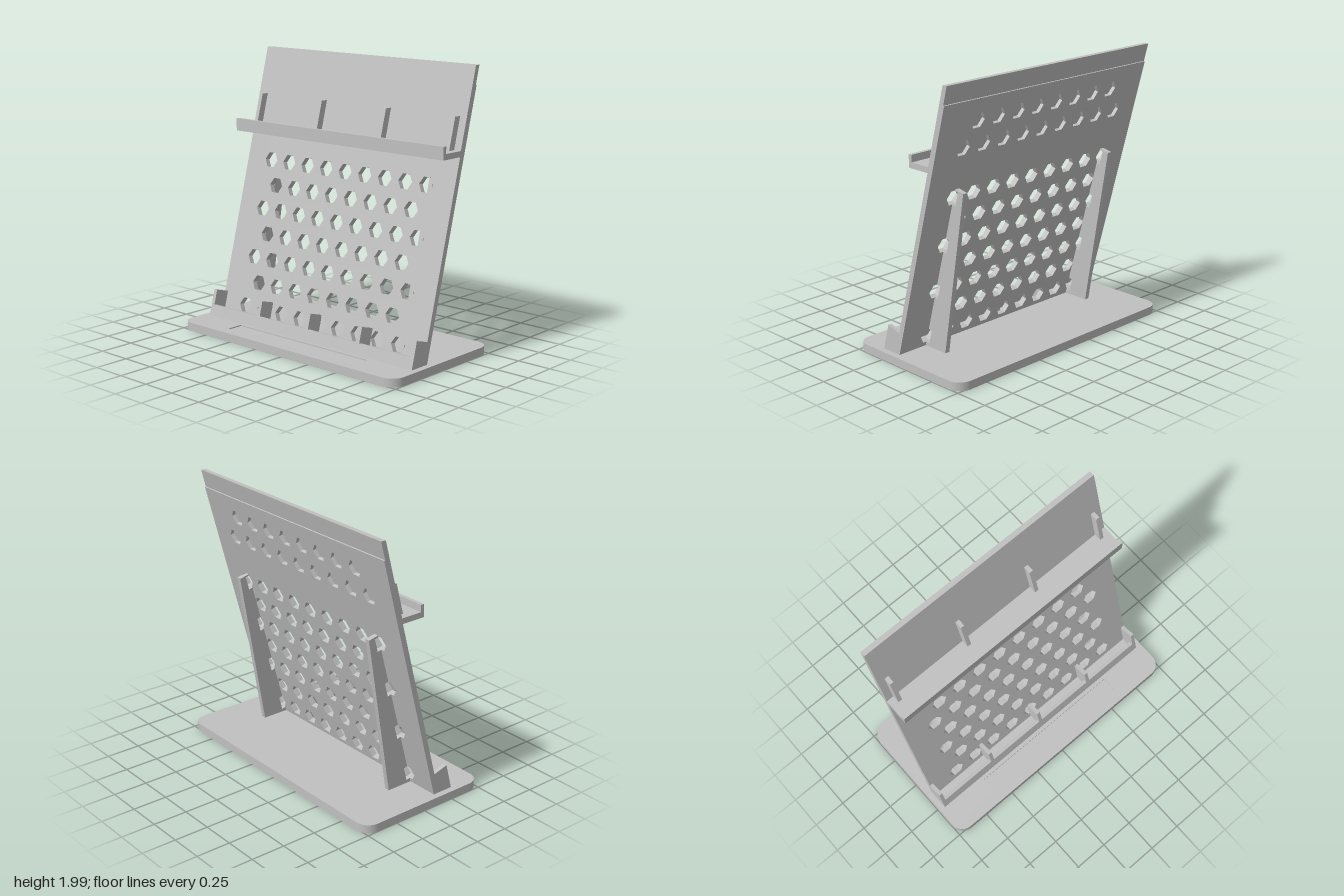
import * as THREE from 'three';

const TILT = THREE.MathUtils.degToRad(15);
const TAN = Math.tan(TILT), COS = Math.cos(TILT);
const grey = new THREE.MeshStandardMaterial({ color: 0xc0c0c0 });
grey.name = 'lightGrey';

// z of the leaning panel's front and back faces at a height y
const frontZ = (y) => 0.18 - TAN * y;
const backZ = (y) => frontZ(y) - 0.041;

function add(parent, name, geometry) {
  const mesh = new THREE.Mesh(geometry, grey);
  mesh.name = name;
  parent.add(mesh);
  return mesh;
}

const polygon = (points) => new THREE.Shape(points.map(([a, b]) => new THREE.Vector2(a, b)));

// side profile of [z, y] points, extruded between x0 and x1
function sideProfile(points, x0, x1) {
  return new THREE.ExtrudeGeometry(polygon(points), { depth: x1 - x0, bevelEnabled: false })
    .rotateY(-Math.PI / 2).translate(x1, 0, 0);
}

// horizontal slab with rounded corners and optional holes
function baseLayer(y0, y1, holes = []) {
  const w = 1, d = 0.515, r = 0.1, s = new THREE.Shape();
  s.absarc(w - r, d - r, r, 0, Math.PI / 2);
  s.absarc(-w + r, d - r, r, Math.PI / 2, Math.PI);
  s.absarc(-w + r, -d + r, r, Math.PI, Math.PI * 1.5);
  s.absarc(w - r, -d + r, r, Math.PI * 1.5, Math.PI * 2);
  s.holes.push(...holes);
  return new THREE.ExtrudeGeometry(s, { depth: y1 - y0, bevelEnabled: false, curveSegments: 12 })
    .rotateX(-Math.PI / 2).translate(0, y0, 0);
}

function rectHole(x0, y0, x1, y1) {
  return new THREE.Path([[x0, y0], [x0, y1], [x1, y1], [x1, y0]].map(([a, b]) => new THREE.Vector2(a, b)));
}

function hexHole(x, y, r) {
  const pts = [];
  for (let i = 0; i < 6; i++) {
    const a = -i * Math.PI / 3;
    pts.push(new THREE.Vector2(x + r * Math.cos(a), y + r * Math.sin(a)));
  }
  return new THREE.Path(pts);
}

export function createModel() {
  const model = new THREE.Group();
  model.name = 'leaningStand';
  const W = 0.955;
  const rowS = (row) => (0.15 + 0.174 * row) / COS;

  // base: foot recesses below, shallow label recess on top
  const base = new THREE.Group();
  base.name = 'base';
  model.add(base);
  const feet = [];
  for (const x of [-0.7, 0.7]) for (const z of [-0.4, 0.4]) {
    feet.push(new THREE.Path().absarc(x, z, 0.06, 0, Math.PI * 2, true));
  }
  add(base, 'baseBottomWithFootRecesses', baseLayer(0, 0.015, feet));
  add(base, 'baseCore', baseLayer(0.015, 0.052));
  add(base, 'baseTopWithLabelRecess', baseLayer(0.052, 0.06, [rectHole(-0.6, -0.43, 0.6, -0.31)]));

  // leaning panel with staggered hexagonal holes; the row behind the shelf is solid
  const panel = polygon([[-W, 0.03], [W, 0.03], [W, 1.936], [-W, 1.936]]);
  for (let row = 0; row < 10; row++) {
    if (row === 7) continue;
    const count = row % 2 ? 8 : 9;
    for (let i = 0; i < count; i++) {
      panel.holes.push(hexHole((i - (count - 1) / 2) * 0.18, rowS(row), 0.06));
    }
  }
  const panelMesh = add(model, 'perforatedPanel',
    new THREE.ExtrudeGeometry(panel, { depth: 0.04, bevelEnabled: false }).translate(0, 0, -0.04));
  panelMesh.position.z = 0.18;
  panelMesh.rotation.x = -TILT;

  // solid upper plate closing the top holes from the front
  const f = (y) => frontZ(y) + 0.004;
  add(model, 'upperPlate', sideProfile([
    [f(1.41), 1.41], [f(1.99), 1.99], [f(1.99) - 0.037, 1.99], [f(1.85) - 0.037, 1.85],
    [f(1.85) - 0.018, 1.85], [f(1.41) - 0.018, 1.41],
  ], -W, W));

  // upper shelf with raised lip and leaning ribs
  add(model, 'upperShelf', sideProfile([
    [-0.018, 1.4], [-0.018, 1.49], [-0.045, 1.49], [-0.045, 1.44],
    [frontZ(1.44) - 0.01, 1.44], [frontZ(1.4) - 0.01, 1.4],
  ], -W, W));
  for (const x of [-0.887, -0.296, 0.296, 0.885]) {
    add(model, 'upperRib', sideProfile([
      [frontZ(1.43) + 0.058, 1.43], [frontZ(1.66) + 0.058, 1.66],
      [frontZ(1.66) - 0.01, 1.66], [frontZ(1.43) - 0.01, 1.43],
    ], x - 0.015, x + 0.015));
  }

  // lower ledge: leaning lip and cross ribs
  const ledgeZ = (y) => 0.298 - TAN * y;
  add(model, 'lowerLip', sideProfile([
    [ledgeZ(0.04), 0.04], [ledgeZ(0.14), 0.14], [ledgeZ(0.14) - 0.029, 0.132], [ledgeZ(0.04) - 0.031, 0.04],
  ], -W + 0.001, W - 0.001));
  for (const x of [-0.941, -0.471, 0, 0.471, 0.941]) {
    add(model, 'lowerRib', sideProfile([
      [ledgeZ(0.04), 0.04], [ledgeZ(0.247), 0.247],
      [frontZ(0.215) - 0.005, 0.214], [frontZ(0.04) - 0.005, 0.04],
    ], x - 0.014, x + 0.014));
  }

  // rear supports, notched where the holes run into them
  const support = [[-0.073, 0.04], [-0.27, 1.226], [backZ(1.24) + 0.005, 1.243]];
  const local = (s, n) => [0.18 - s * Math.sin(TILT) + n * COS, s * COS + n * Math.sin(TILT)];
  for (const row of [6, 4, 2, 0]) {
    const s = rowS(row), h = 0.052;
    support.push(local(s + h, -0.038), local(s + h, -0.07), local(s - h, -0.07), local(s - h, -0.038));
  }
  support.push([backZ(0.04), 0.04]);
  for (const x of [-0.702, 0.702]) {
    add(model, 'rearSupport', sideProfile(support, x - 0.018, x + 0.018));
  }
  return model;
}
